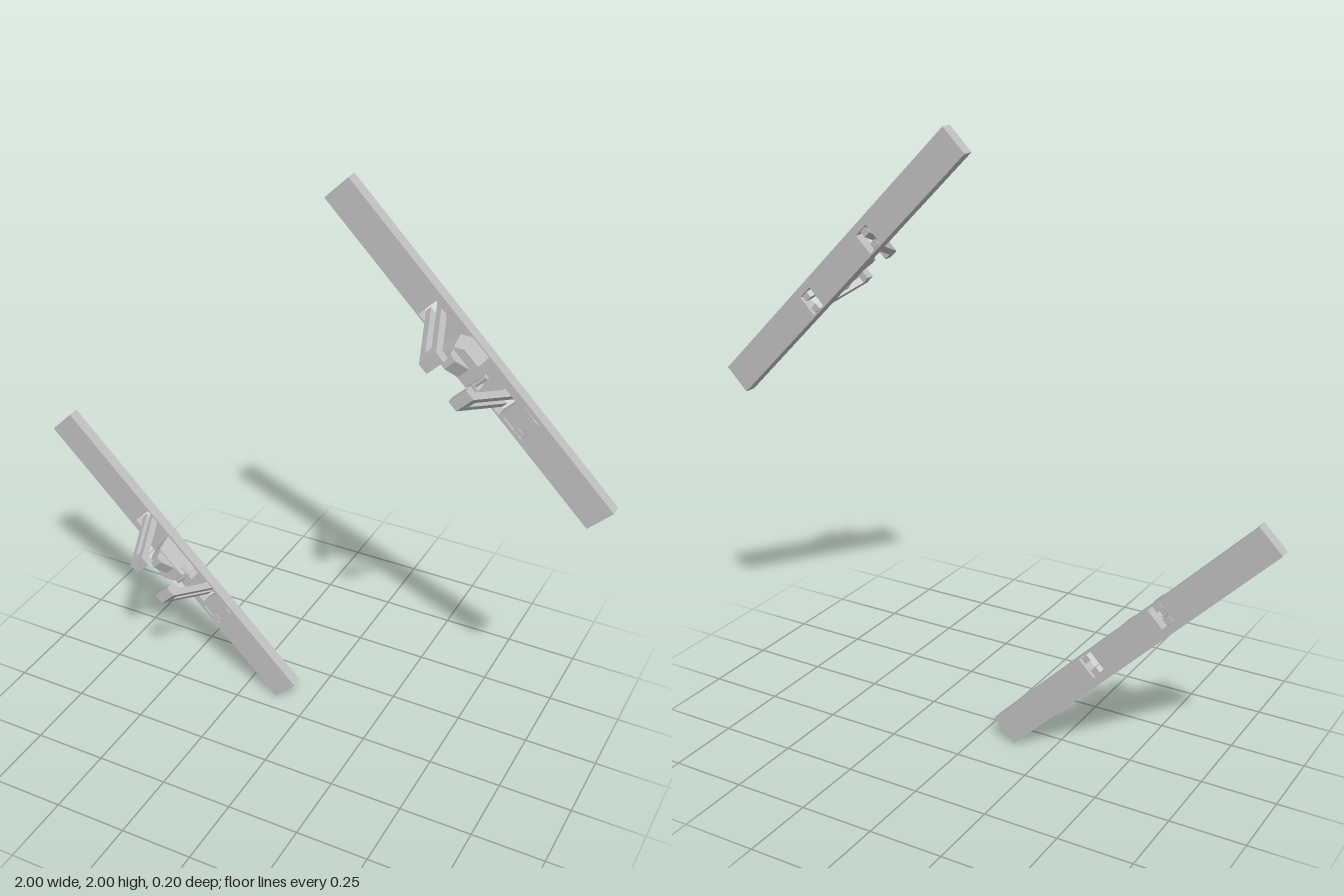
import * as THREE from 'three';

const grey = new THREE.MeshStandardMaterial({ color: 0xc0c0c0 });
grey.name = 'plain grey';

function add(parent, name, geometry, x = 0, y = 0, z = 0) {
  const mesh = new THREE.Mesh(geometry, grey);
  mesh.name = name;
  mesh.position.set(x, y, z);
  parent.add(mesh);
  return mesh;
}

const polygon = (points) => new THREE.Shape(points.map(([x, y]) => new THREE.Vector2(x, y)));

const extrude = (shape, depth) =>
  new THREE.ExtrudeGeometry(shape, { depth, bevelEnabled: false }).toNonIndexed?.() ??
  new THREE.ExtrudeGeometry(shape, { depth, bevelEnabled: false });

function rectHole(cx, cy, w, h) {
  const path = new THREE.Path();
  path.moveTo(cx - w / 2, cy - h / 2);
  path.lineTo(cx - w / 2, cy + h / 2);
  path.lineTo(cx + w / 2, cy + h / 2);
  path.lineTo(cx + w / 2, cy - h / 2);
  path.closePath();
  return path;
}

// Extrudes a profile drawn in x and z across y, centred on y = 0
function acrossBoard(points, width) {
  const g = new THREE.ExtrudeGeometry(polygon(points), { depth: width, bevelEnabled: false });
  g.translate(0, 0, -width / 2);
  g.rotateX(Math.PI / 2);
  return g;
}

// Solid from a base outline that shrinks toward its front face
function taperedBlock(points, z0, z1, scale) {
  const g = new THREE.ExtrudeGeometry(polygon(points), { depth: z1 - z0, bevelEnabled: false });
  const p = g.attributes.position;
  for (let i = 0; i < p.count; i++) {
    if (p.getZ(i) > 1e-5) p.setXY(i, p.getX(i) * scale, p.getY(i) * scale);
    p.setZ(i, p.getZ(i) + z0);
  }
  g.computeVertexNormals();
  return g;
}

// One board lying along its own x axis; side mirrors the mechanism across it
function makeBoard(side) {
  const board = new THREE.Group();
  const L = 1.234, W = 0.106, v0 = -0.01 * side;

  // Board in two layers: slots pass through both, the pocket only the front
  const layer = (pocket) => {
    const s = polygon([[-L / 2, -W / 2], [L / 2, -W / 2], [L / 2, W / 2], [-L / 2, W / 2]]);
    for (const e of [-1, 1]) s.holes.push(rectHole(e * 0.161, v0, 0.054, 0.074));
    if (pocket) s.holes.push(rectHole(0.245, 0, 0.08, 0.08));
    return s;
  };
  add(board, 'boardBack', extrude(layer(false), 0.032), 0, 0, -0.1);
  add(board, 'boardFront', extrude(layer(true), 0.008), 0, 0, -0.068);

  // Pocket panel with two small catches
  add(board, 'pocketPanel', new THREE.BoxGeometry(0.074, 0.074, 0.006), 0.245, 0, -0.065);
  for (const e of [-1, 1])
    add(board, 'pocketCatch', new THREE.BoxGeometry(0.022, 0.014, 0.006), 0.262, e * 0.03, -0.061);

  // Pair of slanted brackets rising from the slots
  for (const e of [-1, 1]) {
    const bar = [[0.18, -0.098], [0.155, -0.098], [0.06, 0.1], [0.085, 0.1]].map(([x, z]) => [e * x, z]);
    for (const k of [-1, 1])
      add(board, 'bracketBar', acrossBoard(bar, 0.022), 0, v0 + k * 0.024, 0);
    const tip = [[0.099, 0.07], [0.05, 0.07], [0.05, 0.1], [0.085, 0.1]].map(([x, z]) => [e * x, z]);
    add(board, 'bracketTip', acrossBoard(tip, 0.07), 0, v0, 0);
    for (const k of [-1, 1]) {
      const bolt = new THREE.CylinderGeometry(0.006, 0.006, 0.003, 12).rotateX(Math.PI / 2);
      add(board, 'bracketBolt', bolt, e * 0.068, v0 + k * 0.024, 0.1);
    }
  }

  // Faceted central housing
  const outline = [[-0.076, -0.045], [0.07, -0.045], [0.07, 0.015], [0.034, 0.049], [-0.042, 0.049], [-0.07, 0.023]];
  add(board, 'housing', taperedBlock(outline.map(([x, y]) => [x, y * side]), -0.061, 0.002, 0.82));

  // Sloped nose and small latch on the housing
  const nose = [[-0.062, -0.03], [0.02, -0.03], [0.02, 0.005], [-0.025, 0.034], [-0.05, 0.03]];
  add(board, 'nose', acrossBoard(nose, 0.046), 0, v0, 0);
  add(board, 'latchArm', new THREE.BoxGeometry(0.05, 0.02, 0.045), 0.065, v0 - 0.022 * side, -0.038);
  add(board, 'latchPin', new THREE.CylinderGeometry(0.008, 0.008, 0.07, 12), 0.07, v0, -0.025);
  return board;
}

export function createModel() {
  const model = new THREE.Group();
  const layout = [
    ['upperBoard', 0.523, 1.526, 1],
    ['lowerBoard', -0.525, 0.477, -1],
  ];
  for (const [name, x, y, side] of layout) {
    const board = makeBoard(side);
    board.name = name;
    board.position.set(x, y, 0);
    board.rotation.z = -Math.PI / 4;
    model.add(board);
  }
  return model;
}
